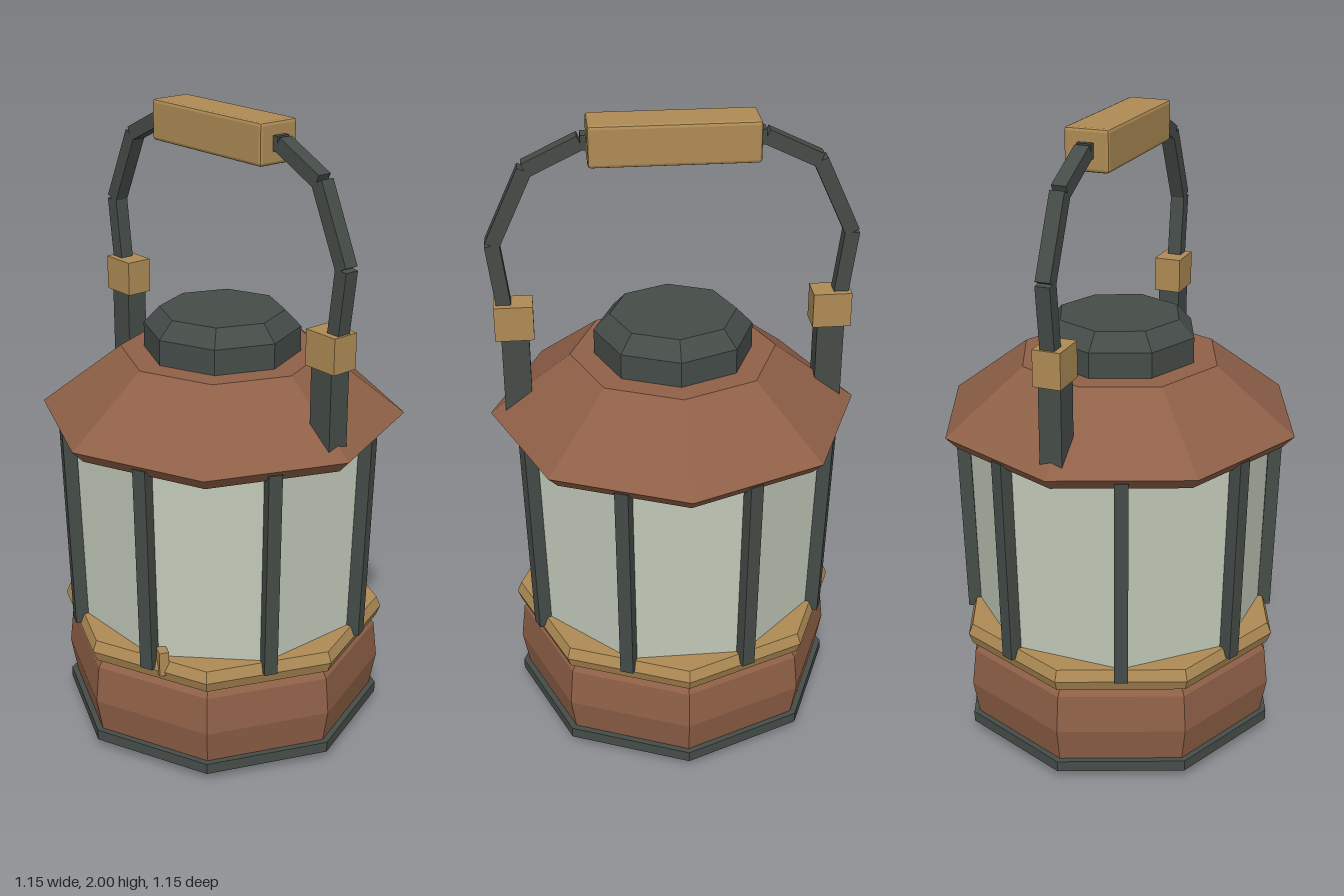
import * as THREE from 'three';
import { RoundedBoxGeometry } from 'three/addons/geometries/RoundedBoxGeometry.js';

const flat = (name, color) => new THREE.MeshStandardMaterial({ name, color, flatShading: true });

export function createModel() {
  const copper = flat('copper', 0x8f6047);
  const brass = flat('brass', 0xae8b55);
  const iron = flat('darkIron', 0x454c48);
  const glass = flat('paleGlass', 0xc2cab9);

  const model = new THREE.Group();
  model.name = 'lantern';

  const add = (name, geometry, material, parent = model) => {
    const mesh = new THREE.Mesh(geometry, material);
    mesh.name = name;
    parent.add(mesh);
    return mesh;
  };
  // Eight-sided turned part, profile as [radius, height] from bottom to top
  const octagon = (name, profile, material) =>
    add(name, new THREE.LatheGeometry(profile.map(([r, y]) => new THREE.Vector2(r, y)), 8), material);
  const box = (name, size, pos, material, parent) => {
    const mesh = add(name, new THREE.BoxGeometry(...size), material, parent);
    mesh.position.set(...pos);
    return mesh;
  };
  // Square bar running between two points, turned about its length by the roll
  const bar = (name, from, to, width, material, roll = 0, parent = model) => {
    const dir = to.clone().sub(from);
    const mesh = add(name, new THREE.BoxGeometry(width, dir.length(), width), material, parent);
    mesh.position.copy(from).add(to).multiplyScalar(0.5);
    mesh.quaternion.setFromUnitVectors(new THREE.Vector3(0, 1, 0), dir.normalize());
    mesh.rotateY(roll);
    return mesh;
  };

  // Base
  octagon('foot', [[0, 0], [0.44, 0], [0.52, 0.035], [0.52, 0.07], [0, 0.07]], iron);
  octagon('baseBody', [[0, 0.07], [0.5, 0.07], [0.52, 0.18], [0.507, 0.3], [0.48, 0.335], [0, 0.335]], copper);
  octagon('collar', [[0, 0.33], [0.513, 0.33], [0.527, 0.365], [0.513, 0.4], [0, 0.4]], brass);
  box('latch', [0.12, 0.08, 0.03], [0.183, 0.393, 0.405], brass).rotation.y = -Math.PI / 8;

  // Glass chamber with a post at each corner
  octagon('glassPanes', [[0.468, 0.38], [0.482, 1.04]], glass).rotation.y = Math.PI / 8;
  for (let i = 0; i < 8; i++) {
    const a = (i + 0.5) * Math.PI / 4;
    const at = (r, y) => new THREE.Vector3(r * Math.sin(a), y, r * Math.cos(a));
    bar('post', at(0.48, 0.37), at(0.499, 1.045), 0.042, iron, a);
  }

  // Roof and cap
  octagon('roof', [[0, 1.02], [0.535, 1.02], [0.573, 1.06], [0.32, 1.255], [0, 1.255]], copper);
  octagon('cap', [[0, 1.25], [0.245, 1.25], [0.245, 1.335], [0.195, 1.387], [0, 1.387]], iron);

  // Carrying handle, both arms mirrored
  const handle = new THREE.Group();
  handle.name = 'handle';
  model.add(handle);
  for (const s of [1, -1]) {
    box('lug', [0.084, 0.25, 0.07], [s * 0.483, 1.21, 0], iron, handle);
    box('lugBlock', [0.118, 0.11, 0.086], [s * 0.484, 1.385, 0], brass, handle);
    const path = [[0.51, 1.42], [0.536, 1.632], [0.43, 1.86], [0.268, 1.938], [0.2, 1.938]]
      .map(([x, y]) => new THREE.Vector3(s * x, y, 0));
    for (let i = 0; i < path.length - 1; i++) {
      bar('handleArm', path[i], path[i + 1], 0.045, iron, 0, handle);
    }
  }
  const grip = add('grip', new RoundedBoxGeometry(0.5, 0.125, 0.138, 1, 0.01), brass, handle);
  grip.position.y = 1.9375;

  return model;
}
